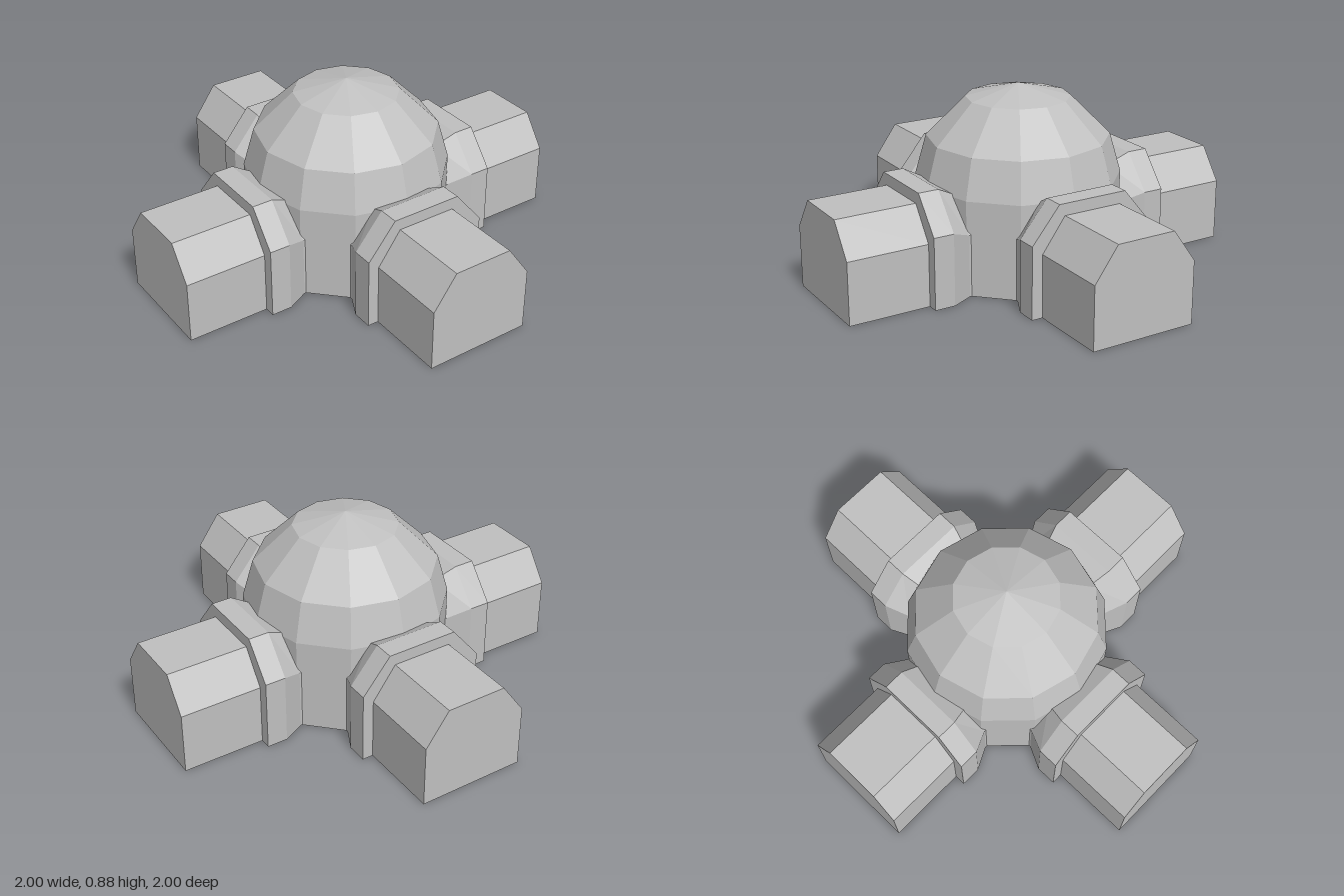
import * as THREE from 'three';

const grey = new THREE.MeshStandardMaterial({ color: 0xc0c0c0 });
grey.name = 'grey';

// Chamfered arch outline: half width, wall height, half roof width, roof height
const arch = (w, wall, r, top) => [[w, 0], [w, wall], [r, top], [-r, top], [-w, wall], [-w, 0]];
const tunnel = arch(0.255, 0.295, 0.143, 0.45);
const collar = arch(0.307, 0.34, 0.171, 0.505);

// Skin a row of [z, outline] sections with flat faces, then cap both ends
function loft(sections) {
  const pos = [];
  const rings = sections.map(([z, outline]) => outline.map(([x, y]) => [x, y, z]));
  const tri = (...corners) => corners.forEach((c) => pos.push(...c));
  const n = rings[0].length;
  for (let s = 0; s < rings.length - 1; s++) {
    for (let i = 0; i < n; i++) {
      const j = (i + 1) % n;
      const a = rings[s][i], b = rings[s][j], c = rings[s + 1][j], d = rings[s + 1][i];
      tri(a, b, c);
      tri(a, c, d);
    }
  }
  const first = rings[0], last = rings[rings.length - 1];
  for (let i = 1; i < n - 1; i++) {
    tri(first[0], first[i + 1], first[i]);
    tri(last[0], last[i], last[i + 1]);
  }
  const geo = new THREE.BufferGeometry();
  geo.setAttribute('position', new THREE.Float32BufferAttribute(pos, 3));
  geo.computeVertexNormals();
  return geo;
}

export function createModel() {
  const model = new THREE.Group();
  const add = (name, geo, angle = 0) => {
    const mesh = new THREE.Mesh(geo, grey);
    mesh.name = name;
    mesh.rotation.y = angle;
    model.add(mesh);
  };

  // Twelve-sided dome on a straight drum, closed underneath
  const profile = [[0, 0], [0.48, 0], [0.48, 0.45], [0.428, 0.635], [0.245, 0.818], [0, 0.88]]
    .map(([x, y]) => new THREE.Vector2(x, y));
  const dome = new THREE.LatheGeometry(profile, 12).toNonIndexed();
  dome.computeVertexNormals();
  add('dome', dome);

  // Four corridors, each with a raised collar flaring out of the dome
  const corridor = loft([
    [0.3, tunnel], [0.41, tunnel], [0.515, collar], [0.613, collar], [0.613, tunnel], [1, tunnel],
  ]);
  ['front', 'left', 'back', 'right'].forEach((side, i) => {
    add(side + 'Corridor', corridor, i * Math.PI / 2);
  });
  return model;
}
